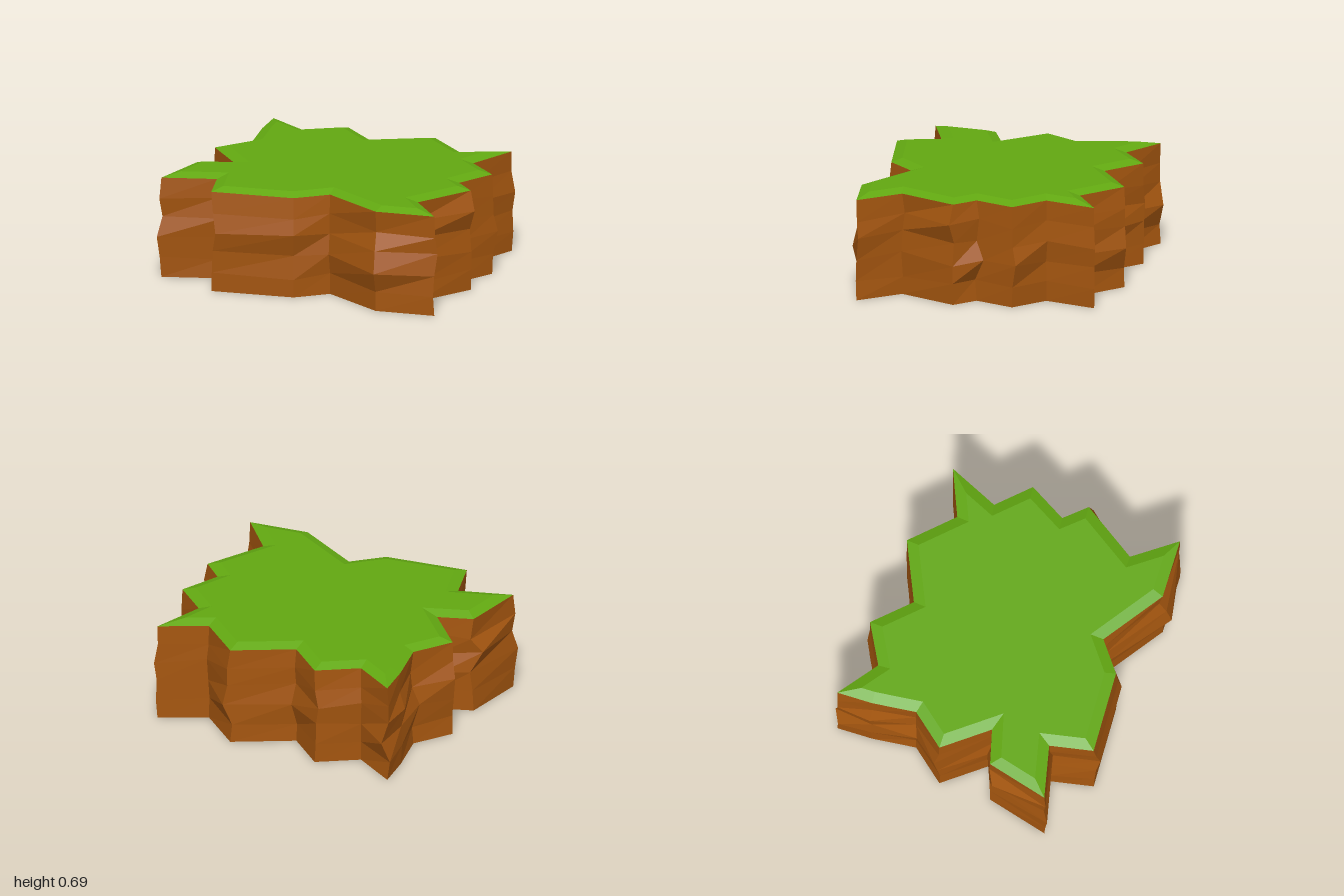
import * as THREE from 'three';

// Star-shaped outline, clockwise from above: x, z, then the strongest rock
// bulge at that corner (dx, dz) and the ring (1 low .. 4 high) where it occurs
const CORNERS = [
  [-0.866, -0.83, 0.03, -0.025, 2], [-0.588, -0.666, -0.015, -0.025, 3],
  [-0.34, -0.835, -0.03, -0.005, 3], [-0.10, -0.634, 0.02, -0.03, 2],
  [0.267, -0.848, 0.045, -0.022, 2], [0.545, -0.618, 0.01, -0.01, 3],
  [0.834, -0.778, 0.02, -0.01, 3], [0.717, -0.436, 0.018, -0.012, 3],
  [0.93, -0.258, 0.027, -0.03, 2], [0.813, 0, 0.025, -0.05, 2],
  [0.952, 0.125, 0.035, 0.018, 4], [0.75, 0.505, -0.01, -0.015, 4],
  [0.978, 0.755, 0.017, -0.015, 3], [0.588, 0.808, 0.012, 0.058, 2],
  [0.166, 0.58, 0.003, 0.03, 2], [-0.015, 0.75, 0.015, 0.033, 3],
  [-0.556, 0.835, 0.042, 0.03, 3], [-0.64, 0.56, 0.035, 0.01, 3],
  [-0.978, 0.677, -0.02, 0.028, 2], [-0.91, 0.265, -0.05, 0.035, 3],
  [-0.69, 0.18, -0.04, -0.015, 2], [-0.941, -0.078, -0.032, -0.025, 3],
  [-0.78, -0.313, -0.035, 0.02, 2], [-0.84, -0.596, -0.033, -0.005, 3],
];
const HEIGHTS = [0, 0.13, 0.27, 0.41, 0.535, 0.665];
const TOP = 0.69;
const INSET = 0.07;

function seeded(seed) {
  return () => {
    seed = (seed * 16807) % 2147483647;
    return seed / 2147483647;
  };
}

// Band of quads between two closed rings
function band(out, low, high) {
  low.forEach((a, i) => {
    const j = (i + 1) % low.length;
    out.push(a, high[i], low[j], high[i], high[j], low[j]);
  });
}

// Flat cap over a ring, facing up (1) or down (-1)
function cap(out, ring, facing) {
  const flat = ring.map((p) => new THREE.Vector2(p.x, -p.z));
  for (const [i, j, k] of THREE.ShapeUtils.triangulateShape(flat, [])) {
    const area = THREE.ShapeUtils.area([flat[i], flat[j], flat[k]]);
    if (area * facing > 0) out.push(ring[i], ring[j], ring[k]);
    else out.push(ring[i], ring[k], ring[j]);
  }
}

// Moves every edge of a ring inwards by the same distance
function insetRing(ring, distance, y) {
  const n = ring.length;
  const normal = (a, b) => new THREE.Vector2(a.z - b.z, b.x - a.x).normalize();
  return ring.map((p, i) => {
    const n1 = normal(ring[(i + n - 1) % n], p);
    const n2 = normal(p, ring[(i + 1) % n]);
    const k = distance / (1 + n1.dot(n2));
    return new THREE.Vector3(p.x + (n1.x + n2.x) * k, y, p.z + (n1.y + n2.y) * k);
  });
}

function makeMesh(name, points, material) {
  const geometry = new THREE.BufferGeometry().setFromPoints(points);
  geometry.computeVertexNormals();
  const mesh = new THREE.Mesh(geometry, material);
  mesh.name = name;
  return mesh;
}

export function createModel() {
  const earth = new THREE.MeshStandardMaterial({ color: 0xa5560f });
  earth.name = 'earth brown';
  const grass = new THREE.MeshStandardMaterial({ color: 0x62a811 });
  grass.name = 'grass green';
  const random = seeded(71);

  // Rock rings: clean outline at base and rim, jagged in between
  const rings = HEIGHTS.map((y, level) => CORNERS.map(([x, z, dx, dz, peak]) => {
    if (level === 0 || level === HEIGHTS.length - 1) return new THREE.Vector3(x, y, z);
    const push = level === peak ? 1 : random() * 0.9 - 0.45;
    return new THREE.Vector3(x + dx * push, y + (random() - 0.5) * 0.035, z + dz * push);
  }));

  const group = new THREE.Group();
  group.name = 'grassyCliff';

  // Rock walls and underside
  const walls = [];
  for (let i = 0; i < rings.length - 1; i++) band(walls, rings[i], rings[i + 1]);
  group.add(makeMesh('rockWalls', walls, earth));
  const base = [];
  cap(base, rings[0], -1);
  group.add(makeMesh('underside', base, earth));

  // Grass: sloping border and flat top
  const rim = rings[rings.length - 1];
  const lawn = insetRing(rim, INSET, TOP);
  const border = [];
  band(border, rim, lawn);
  group.add(makeMesh('grassBorder', border, grass));
  const top = [];
  cap(top, lawn, 1);
  group.add(makeMesh('grassTop', top, grass));

  return group;
}
